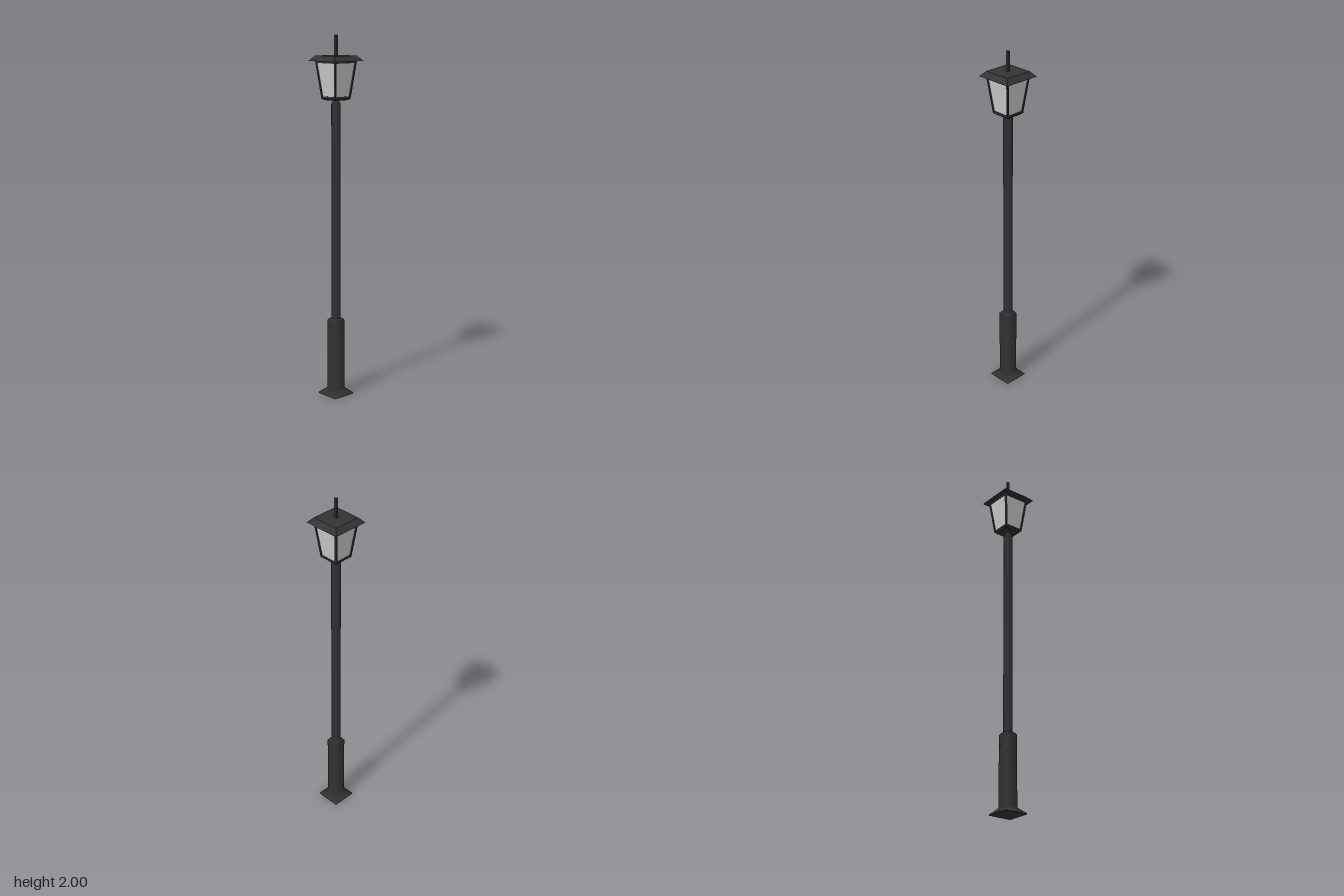
import * as THREE from 'three';

const iron = new THREE.MeshStandardMaterial({ color: 0x333333 });
const ironFlat = new THREE.MeshStandardMaterial({ color: 0x333333, flatShading: true });
const pane = new THREE.MeshStandardMaterial({ color: 0xcccccc, flatShading: true });

// Square section swept up a profile of [half width, y], listed bottom to top
function square(name, profile, material) {
  const points = profile.map(([half, y]) => new THREE.Vector2(half * Math.SQRT2, y));
  const mesh = new THREE.Mesh(new THREE.LatheGeometry(points, 4, Math.PI / 4), material);
  mesh.name = name;
  return mesh;
}

// Square bar running between two points
function bar(name, from, to, width) {
  const along = to.clone().sub(from);
  const mesh = new THREE.Mesh(new THREE.BoxGeometry(width, along.length(), width), ironFlat);
  mesh.position.copy(from).add(to).multiplyScalar(0.5);
  mesh.quaternion.setFromUnitVectors(new THREE.Vector3(0, 1, 0), along.normalize());
  mesh.name = name;
  return mesh;
}

export function createModel() {
  const model = new THREE.Group();
  model.name = 'streetLamp';

  // Post with flared foot, thick lower sleeve and narrow neck
  model.add(square('post', [
    [0.069, 0], [0.069, 0.006], [0.034, 0.037], [0.034, 0.43], [0.027, 0.441],
    [0.018, 0.443], [0.018, 1.635], [0.012, 1.65], [0.012, 1.66],
  ], iron));
  model.add(square('footUnderside', [[0, 0], [0.069, 0]], ironFlat));

  // Lantern
  const lantern = new THREE.Group();
  lantern.name = 'lantern';
  model.add(lantern);
  lantern.add(square('lanternFloor', [
    [0, 1.655], [0.045, 1.655], [0.056, 1.664], [0.056, 1.675], [0, 1.675],
  ], ironFlat));
  lantern.add(square('glass', [[0.051, 1.67], [0.075, 1.866]], pane));
  lantern.add(square('topRail', [
    [0, 1.852], [0.077, 1.852], [0.079, 1.868], [0, 1.868],
  ], ironFlat));
  for (const x of [-1, 1]) {
    for (const z of [-1, 1]) {
      lantern.add(bar('cornerBar',
        new THREE.Vector3(x * 0.051, 1.668, z * 0.051),
        new THREE.Vector3(x * 0.074, 1.864, z * 0.074), 0.01));
    }
  }

  // Flat-topped roof and its spike
  lantern.add(square('roof', [
    [0, 1.863], [0.104, 1.863], [0.078, 1.891], [0, 1.891],
  ], ironFlat));
  lantern.add(square('spike', [
    [0.007, 1.885], [0.007, 1.997], [0.005, 2], [0, 2],
  ], ironFlat));

  return model;
}
